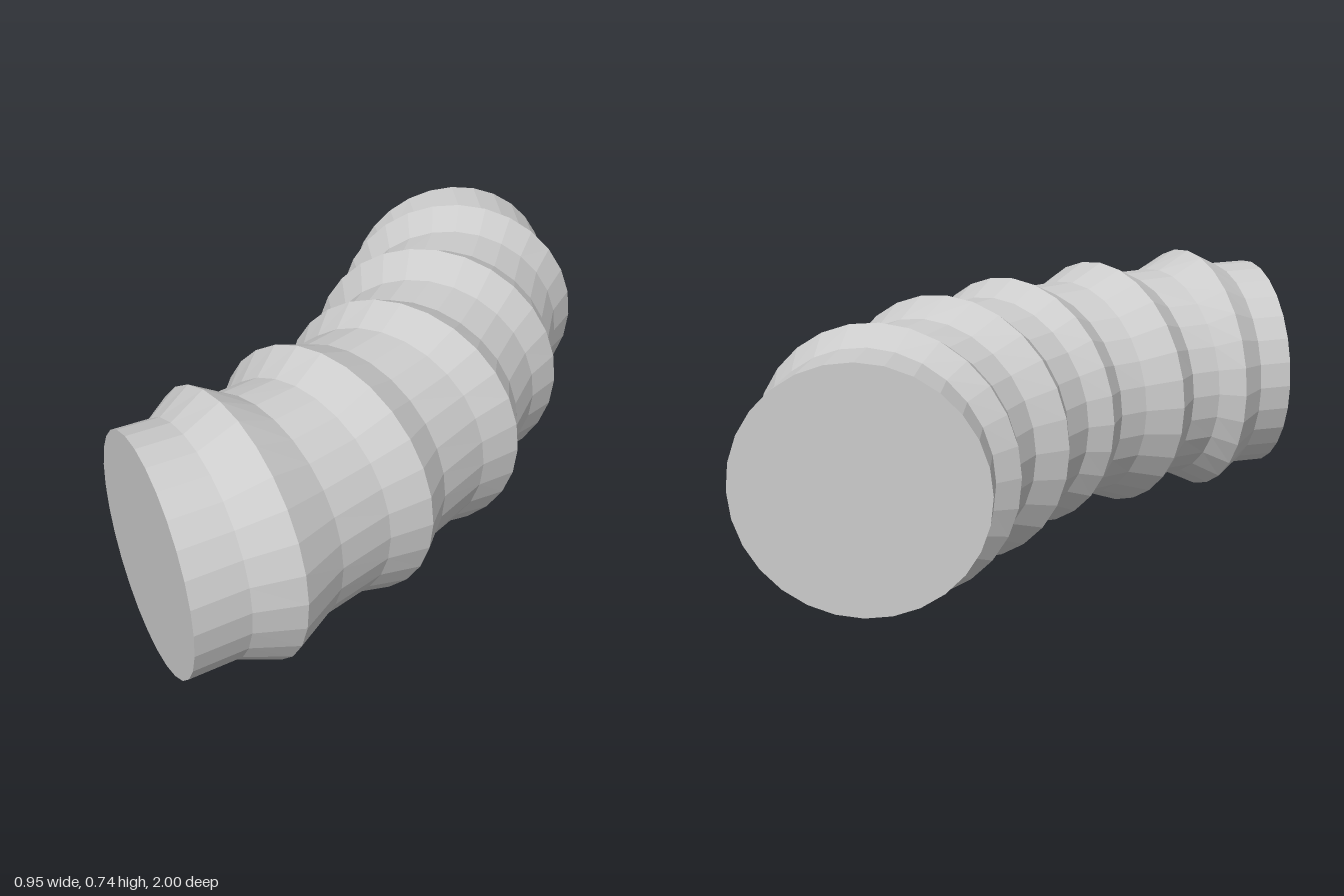
import * as THREE from 'three';

const SIDES = 28;
const CENTER_Y = 0.372;

// Rings from front to back: [inner x, inner z, outer x, outer z]
const RINGS = [
  [-0.48, 0.575, 0, 0.995], // front end
  [-0.42, 0.5, 0.09, 0.875],
  [-0.42, 0.4, 0.2, 0.8], // ridge
  [-0.345, 0.375, 0.225, 0.65],
  [-0.3, 0.3, 0.29, 0.5],
  [-0.325, 0.195, 0.37, 0.41], // ridge
  [-0.25, 0.11, 0.36, 0.29],
  [-0.215, 0.035, 0.41, 0.12],
  [-0.24, -0.05, 0.475, 0.02], // ridge
  [-0.195, -0.11, 0.44, -0.09],
  [-0.195, -0.21, 0.44, -0.25],
  [-0.255, -0.3, 0.475, -0.355], // ridge
  [-0.205, -0.38, 0.43, -0.46],
  [-0.215, -0.47, 0.4, -0.63],
  [-0.275, -0.545, 0.415, -0.745], // ridge
  [-0.245, -0.61, 0.335, -0.835],
  [-0.295, -0.69, 0.255, -1], // back end
];

// Points of one circular cross-section standing upright across the bend
function ringPoints([x0, z0, x1, z1]) {
  const center = new THREE.Vector3((x0 + x1) / 2, CENTER_Y, (z0 + z1) / 2);
  const across = new THREE.Vector3((x1 - x0) / 2, 0, (z1 - z0) / 2);
  const up = new THREE.Vector3(0, Math.max(0.317, across.length()), 0);
  const points = [];
  for (let j = 0; j < SIDES; j++) {
    const a = (j / SIDES) * Math.PI * 2;
    points.push(center.clone().addScaledVector(across, Math.cos(a)).addScaledVector(up, Math.sin(a)));
  }
  return { center, points };
}

function meshFrom(name, triangles, material) {
  const geometry = new THREE.BufferGeometry().setFromPoints(triangles);
  geometry.computeVertexNormals();
  const mesh = new THREE.Mesh(geometry, material);
  mesh.name = name;
  return mesh;
}

export function createModel() {
  const group = new THREE.Group();
  group.name = 'bentCorrugatedTube';
  const material = new THREE.MeshStandardMaterial({ color: 0xcccccc, flatShading: true });
  const rings = RINGS.map(ringPoints);

  // Ribbed wall joining neighbouring rings
  const wall = [];
  for (let i = 0; i < rings.length - 1; i++) {
    const front = rings[i].points;
    const back = rings[i + 1].points;
    for (let j = 0; j < SIDES; j++) {
      const k = (j + 1) % SIDES;
      wall.push(front[j], back[j], front[k], front[k], back[j], back[k]);
    }
  }
  group.add(meshFrom('ribbedWall', wall, material));

  // Flat discs closing both ends
  const frontCap = [];
  const backCap = [];
  const first = rings[0];
  const last = rings[rings.length - 1];
  for (let j = 0; j < SIDES; j++) {
    const k = (j + 1) % SIDES;
    frontCap.push(first.center, first.points[j], first.points[k]);
    backCap.push(last.center, last.points[k], last.points[j]);
  }
  group.add(meshFrom('frontCap', frontCap, material), meshFrom('backCap', backCap, material));
  return group;
}
